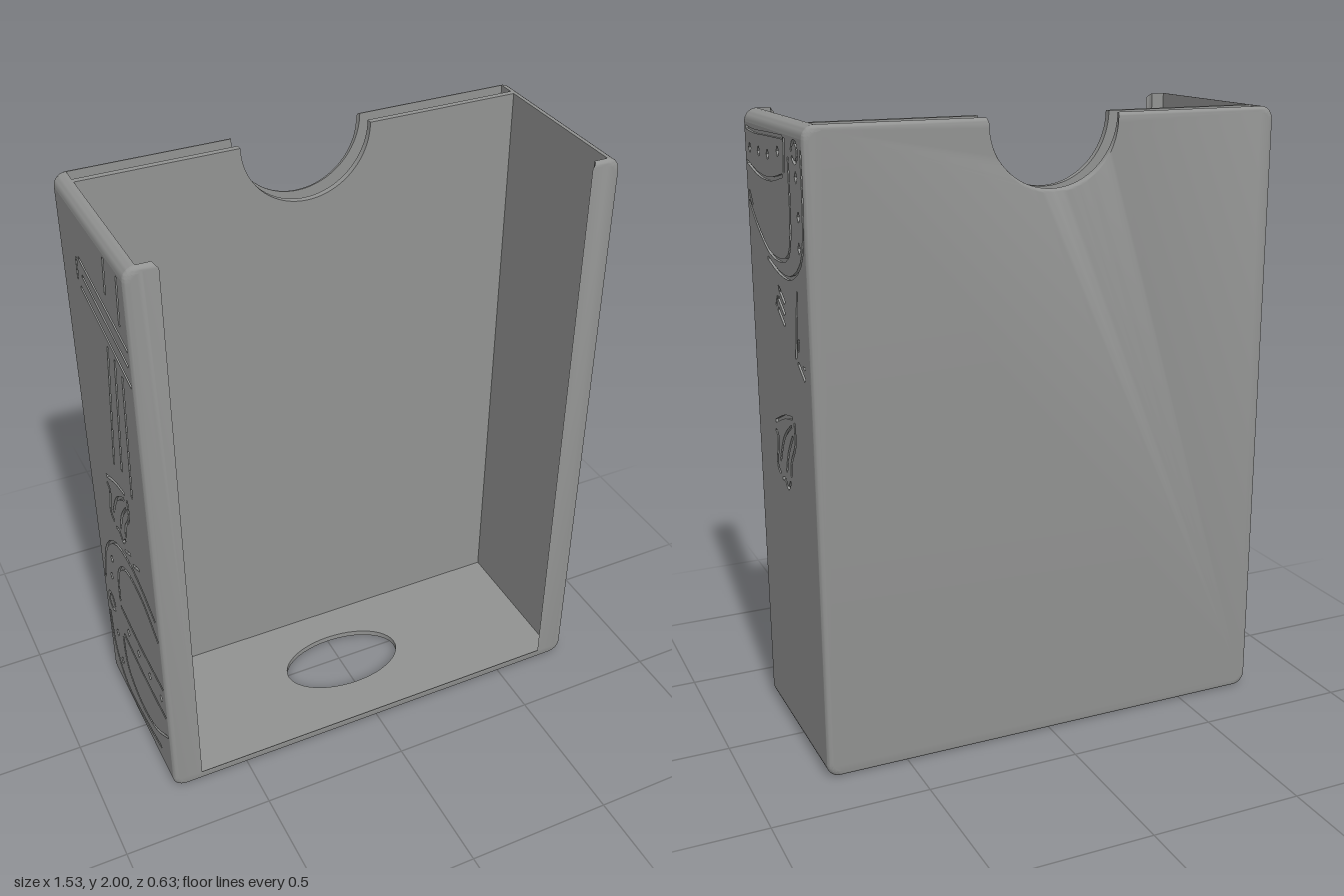
import * as THREE from 'three';
import { toCreasedNormals } from 'three/addons/utils/BufferGeometryUtils.js';

const W = 0.765, D = 0.315, R = 0.016, C = 0.04;   // half width, half depth, edge radius, corner radius
const IN = 0.725, FLOOR = 0.02, SKIN = 0.008;      // inner wall, floor height, engraving depth
const NOTCH = 0.215;

const grey = new THREE.MeshStandardMaterial({ color: 0x929392 });
grey.name = 'grey';

export function createModel() {
  const model = new THREE.Group();
  model.name = 'cardBox';

  function add(name, geometry) {
    const mesh = new THREE.Mesh(toCreasedNormals(geometry, 0.6), grey);
    mesh.name = name;
    model.add(mesh);
    return mesh;
  }
  const extrude = (shape, depth, steps = 1) =>
    new THREE.ExtrudeGeometry(shape, { depth, steps, bevelEnabled: false, curveSegments: 24 });

  // Rounded outer outline, left open along the top edge
  function outerOutline() {
    const s = new THREE.Shape();
    s.moveTo(-W + C, 2);
    s.absarc(-W + C, 2 - C, C, Math.PI / 2, Math.PI, false);
    s.absarc(-W + C, C, C, Math.PI, Math.PI * 1.5, false);
    s.absarc(W - C, C, C, -Math.PI / 2, 0, false);
    s.absarc(W - C, 2 - C, C, 0, Math.PI / 2, false);
    return s;
  }

  // Slab whose outer edge rounds over towards its far face
  function roundedCap(shape) {
    const g = extrude(shape, R, 5), p = g.attributes.position;
    for (let i = 0; i < p.count; i++) {
      const angle = (p.getZ(i) / R) * Math.PI / 2;
      const inset = R * (1 - Math.cos(angle));
      p.setXYZ(i, p.getX(i) * (W - inset) / W, 1 + (p.getY(i) - 1) * (1 - inset), R * Math.sin(angle));
    }
    return g;
  }

  // Outer back wall with thumb notch
  const back = outerOutline();
  back.lineTo(NOTCH, 2);
  back.absarc(0, 2, NOTCH, 0, Math.PI, true);
  add('backWall', roundedCap(back).rotateY(Math.PI).translate(0, 0, -D + R));

  // Inner back wall, leaving a narrow slot behind it
  const inner = new THREE.Shape();
  inner.moveTo(-IN, FLOOR);
  inner.lineTo(IN, FLOOR);
  inner.lineTo(IN, 2);
  inner.lineTo(NOTCH, 2);
  inner.absarc(0, 2, NOTCH, 0, Math.PI, true);
  inner.lineTo(-IN, 2);
  add('innerBackWall', extrude(inner, 0.02).translate(0, 0, -0.245));

  // Front lips joined by the floor edge
  const lips = outerOutline();
  lips.lineTo(0.68, 2);
  lips.lineTo(0.68, FLOOR);
  lips.lineTo(-0.68, FLOOR);
  lips.lineTo(-0.68, 2);
  add('frontLips', roundedCap(lips).translate(0, 0, D - R));

  // Floor with oval hole
  const half = D - R;
  const floor = new THREE.Shape();
  floor.moveTo(-IN, -half);
  floor.lineTo(IN, -half);
  floor.lineTo(IN, half);
  floor.lineTo(-IN, half);
  floor.holes.push(new THREE.Path().absellipse(0, -0.025, NOTCH, 0.125, 0, Math.PI * 2, true));
  add('floor', extrude(floor, FLOOR).rotateX(-Math.PI / 2));

  // Side wall cores, recessed for the engraved skin
  for (const side of [1, -1]) {
    const pts = [[IN, 0]];
    for (let i = 0; i <= 8; i++) {
      const a = -Math.PI / 2 + i * Math.PI / 16;
      pts.push([W - C + C * Math.cos(a), C + C * Math.sin(a)]);
    }
    pts.push([W - SKIN, C], [W - SKIN, 2 - C]);
    for (let i = 0; i <= 8; i++) {
      const a = i * Math.PI / 16;
      pts.push([W - C + C * Math.cos(a), 2 - C + C * Math.sin(a)]);
    }
    pts.push([IN, 2]);
    const wall = new THREE.Shape(pts.map(([x, y]) => new THREE.Vector2(side * x, y)));
    add(side > 0 ? 'leftWall' : 'rightWall', extrude(wall, 2 * half).translate(0, 0, -half));
  }

  // Groove: a constant-width ribbon along a smooth line of [z, y] points
  function groove(points, width = 0.011) {
    const curve = new THREE.SplineCurve(points.map(([z, y]) => new THREE.Vector2(z, y)));
    const n = points.length > 2 ? 14 : 1, a = [], b = [];
    for (let i = 0; i <= n; i++) {
      const p = curve.getPoint(i / n), t = curve.getTangent(i / n).multiplyScalar(width / 2);
      a.push(new THREE.Vector2(p.x - t.y, p.y + t.x));
      b.unshift(new THREE.Vector2(p.x + t.y, p.y - t.x));
    }
    return a.concat(b);
  }
  const stud = ([z, y]) => [[0, 0.018], [-0.013, 0], [0, -0.018], [0.013, 0]]
    .map(([u, v]) => new THREE.Vector2(z + u, y + v));
  const ring = (z, y, r) => groove([0, 1, 2, 3, 4, 5].map(i => [z + r * Math.cos(i * 1.15), y + r * Math.sin(i * 1.15)]));

  // Thin outer skin with the engravings cut through it
  function engravedSkin(name, side, cuts) {
    const s = new THREE.Shape();
    s.moveTo(-half, C);
    s.lineTo(half, C);
    s.lineTo(half, 2 - C);
    s.lineTo(-half, 2 - C);
    for (const cut of cuts) s.holes.push(new THREE.Path(cut.map(v => new THREE.Vector2(-side * v.x, v.y))));
    add(name, extrude(s, SKIN).rotateY(side * Math.PI / 2).translate(side * (W - SKIN), 0, 0));
  }

  // Fan-shaped shell, used on both sides
  const shell = (flip, dy) => [
    [[-0.09, 1.11], [0.0, 1.09], [0.1, 1.05]],
    [[0.105, 1.02], [0.08, 1.0], [0.1, 0.91], [0.07, 0.885]],
    [[0.05, 0.875], [0.02, 0.88], [-0.01, 0.86], [-0.04, 0.89]],
    [[-0.05, 0.91], [-0.06, 0.96], [-0.11, 1.03], [-0.11, 1.1]],
    [[-0.075, 1.08], [0.01, 1.02], [0.065, 0.93]],
    [[-0.085, 1.05], [-0.03, 0.98], [0.0, 0.91]],
  ].map(line => groove(line.map(([z, y]) => [flip * z, y + dy])));

  // Key: shaft with three teeth
  const key = (z, y, dz, dy) => [
    groove([[z, y], [z + dz, y - dy]]),
    groove([[z - 0.028, y], [z + dz - 0.028, y - dy + 0.03]]),
    ...[0, 1, 2].map(i => groove([[z + dz - 0.02 - i * 0.005, y - dy - 0.005 + i * 0.035],
      [z + dz - 0.085 - i * 0.005, y - dy - 0.045 + i * 0.035]], 0.014)),
  ];

  engravedSkin('leftEngraving', 1, [
    groove([[0.29, 1.945], [0.19, 1.94], [0.05, 1.945], [-0.115, 1.95]]),
    groove([[-0.13, 1.95], [-0.115, 1.85]]),
    groove([[0.29, 1.84], [0.16, 1.815], [0.03, 1.815], [-0.1, 1.84]]),
    groove([[-0.165, 1.9], [-0.16, 1.69], [-0.11, 1.6], [0.05, 1.585], [0.18, 1.64], [0.29, 1.72]]),
    groove([[-0.29, 1.93], [-0.29, 1.75], [-0.26, 1.62], [-0.15, 1.55], [-0.02, 1.545], [0.1, 1.57]]),
    groove([[0.28, 1.73], [0.25, 1.69]].map(([z, y]) => [z, y + 0.02])),
    ring(-0.228, 1.92, 0.03),
    ...[[0.25, 1.885], [0.15, 1.885], [0.05, 1.885], [-0.06, 1.905],
      [-0.235, 1.85], [-0.245, 1.74], [-0.24, 1.65]].map(stud),
    ...key(-0.03, 1.525, 0.06, 0.09),
    ...key(-0.2, 1.52, 0.04, 0.21),
    ...shell(1, 0),
  ]);

  engravedSkin('rightEngraving', -1, [
    // Sword
    groove([[0.14, 1.95], [0.125, 1.83]]), groove([[0.25, 1.95], [0.235, 1.79]]),
    groove([[-0.12, 1.82], [0.29, 1.74]]), groove([[-0.13, 1.72], [0.29, 1.625]]),
    groove([[-0.145, 1.81], [-0.15, 1.735]]), groove([[-0.1, 1.77], [0.28, 1.685]]),
    groove([[0.09, 1.64], [0.01, 1.17]]), groove([[0.15, 1.63], [0.09, 1.2]]),
    groove([[0.21, 1.61], [0.17, 1.15]]),
    ...shell(-1, 0),
    // Helmet
    groove([[-0.28, 0.48], [-0.22, 0.66], [-0.08, 0.78], [0.1, 0.8], [0.28, 0.74]]),
    groove([[-0.12, 0.5], [-0.1, 0.64], [0.0, 0.73], [0.15, 0.73], [0.29, 0.66]]),
    groove([[-0.12, 0.47], [0.08, 0.45], [0.29, 0.45]]),
    groove([[-0.12, 0.34], [0.08, 0.32], [0.29, 0.32]]),
    groove([[-0.14, 0.31], [-0.12, 0.18], [0.0, 0.12], [0.15, 0.14], [0.29, 0.23]]),
    groove([[-0.28, 0.32], [-0.26, 0.16], [-0.16, 0.06], [0.02, 0.06], [0.2, 0.09]]),
    ring(-0.235, 0.4, 0.035),
    ...[[-0.06, 0.4], [0.04, 0.39], [0.15, 0.385], [0.26, 0.385],
      [-0.165, 0.65], [-0.195, 0.55], [-0.21, 0.27], [-0.19, 0.15]].map(stud),
    groove([[0.02, 0.83], [0.08, 0.86]]), groove([[0.1, 0.83], [0.16, 0.86]]),
  ]);

  return model;
}
